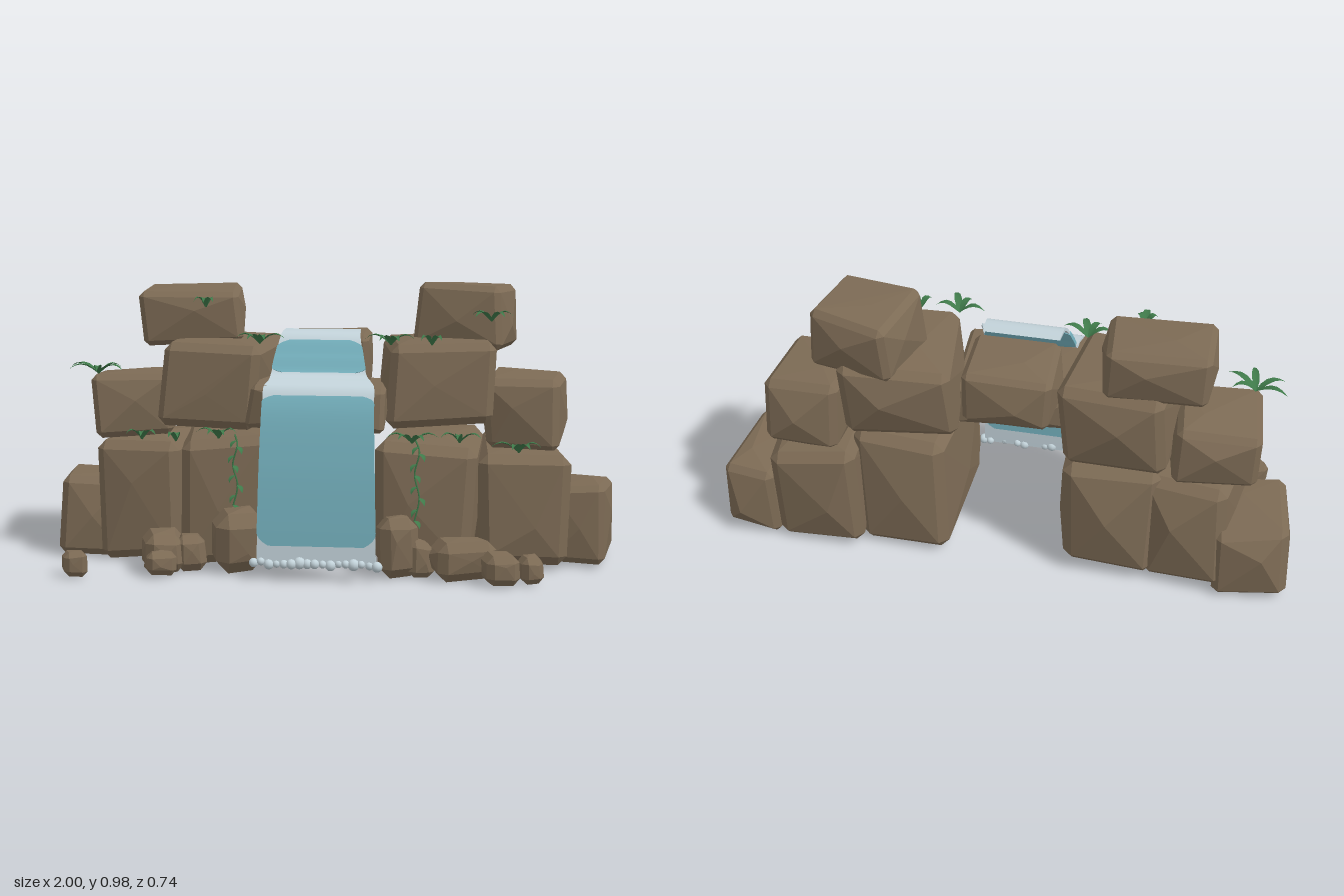
import * as THREE from 'three';
import { ConvexGeometry } from 'three/addons/geometries/ConvexGeometry.js';
import { toCreasedNormals } from 'three/addons/utils/BufferGeometryUtils.js';

const material = (name, color, extra = {}) => {
  const m = new THREE.MeshStandardMaterial({ color, ...extra });
  m.name = name;
  return m;
};

// Small seeded generator
function seeded(seed) {
  let s = seed * 7919 + 17;
  return () => (s = (s * 16807) % 2147483647) / 2147483647;
}

// Irregular bevelled boulder filling the box [x0,x1] [y0,y1] [z0,z1]
function boulderGeometry([x0, x1, y0, y1, z0, z1], seed, bevel, yaw) {
  const rand = seeded(seed);
  for (let i = 0; i < 5; i++) rand();
  const size = [x1 - x0, y1 - y0, z1 - z0];
  const b = Math.min(...size) * bevel;
  const pts = [];
  for (const sx of [-1, 1]) for (const sy of [-1, 1]) for (const sz of [-1, 1]) {
    const s = [sx, sy, sz];
    const corner = s.map((v, i) => v * size[i] / 2 * (1 - 0.16 * rand()));
    for (let a = 0; a < 3; a++) {
      pts.push(new THREE.Vector3(...corner.map((c, i) => (i === a ? c : c - s[i] * b))));
    }
  }
  // Peaks on the sides and back
  const off = () => (rand() - 0.5) * 0.3;
  pts.push(new THREE.Vector3(off() * size[0], off() * size[1], -size[2] * 0.55));
  pts.push(new THREE.Vector3(off() * size[0], off() * size[1], size[2] * 0.5));
  pts.push(new THREE.Vector3(-size[0] * 0.5, off() * size[1], off() * size[2]));
  pts.push(new THREE.Vector3(size[0] * 0.5, off() * size[1], off() * size[2]));
  pts.push(new THREE.Vector3(off() * size[0], size[1] * 0.49, off() * size[2]));
  const turn = new THREE.Euler((rand() - 0.5) * 0.08, yaw, (rand() - 0.5) * 0.08);
  pts.forEach(p => p.applyEuler(turn));
  // Fit the turned boulder to its box
  const box = new THREE.Box3().setFromPoints(pts);
  const d = box.getSize(new THREE.Vector3());
  pts.forEach(p => p.sub(box.min).divide(d)
    .multiply(new THREE.Vector3(...size)).add(new THREE.Vector3(x0, y0, z0)));
  return new ConvexGeometry(pts);
}

// Water course from top to bottom: left x, right x, y, z
const COURSE = [
  [-0.16, 0.105, 0.812, -0.06], [-0.165, 0.11, 0.80, 0.02], [-0.18, 0.125, 0.73, 0.07],
  [-0.19, 0.14, 0.67, 0.11], [-0.19, 0.16, 0.655, 0.17], [-0.2, 0.175, 0.64, 0.215],
  [-0.2, 0.175, 0.58, 0.248], [-0.205, 0.18, 0.4, 0.282], [-0.21, 0.185, 0.2, 0.298],
  [-0.215, 0.19, 0.05, 0.303],
];
const leftBank = new THREE.CatmullRomCurve3(COURSE.map(r => new THREE.Vector3(r[0], r[2], r[3])));
const rightBank = new THREE.CatmullRomCurve3(COURSE.map(r => new THREE.Vector3(r[1], r[2], r[3])));

// Slab of water along the course between two row numbers, ends optionally rounded
function waterGeometry(from, to, thick, grow, round) {
  const steps = 40, pos = [], idx = [], last = COURSE.length - 1;
  for (let i = 0; i <= steps; i++) {
    const row = from + (to - from) * i / steps;
    const l = leftBank.getPoint(row / last), r = rightBank.getPoint(row / last);
    const t = leftBank.getTangent(row / last);
    const n = new THREE.Vector3(0, t.z, -t.y).normalize().multiplyScalar(thick / 2);
    const near = Math.max(0, 1 - Math.min(row - from, to - row) / 0.3);
    const inset = (round ? 0.04 * near * near : 0) - grow;
    l.x += inset;
    r.x -= inset;
    for (const [p, k] of [[l, 1], [r, 1], [r, -1], [l, -1]]) pos.push(p.x, p.y + n.y * k, p.z + n.z * k);
    if (i < steps) for (let k = 0; k < 4; k++) {
      const a = i * 4 + k, b = i * 4 + (k + 1) % 4;
      idx.push(a, a + 4, b + 4, a, b + 4, b);
    }
  }
  const g = new THREE.BufferGeometry();
  g.setAttribute('position', new THREE.Float32BufferAttribute(pos, 3));
  g.setIndex(idx);
  return toCreasedNormals(g.toNonIndexed(), 0.7);
}

// Arching, folded leaf growing along +z
function leafGeometry(length, width, arch) {
  const g = new THREE.PlaneGeometry(1, 1, 2, 5);
  const p = g.attributes.position;
  for (let i = 0; i < p.count; i++) {
    const side = p.getX(i) * 2, u = p.getY(i) + 0.5;
    const w = width / 2 * Math.sin(Math.PI * (0.08 + 0.92 * Math.pow(u, 0.8)));
    p.setXYZ(i, side * w, arch * Math.sin(u * 2.5) + Math.abs(side) * w * 0.35, u * length);
  }
  g.computeVertexNormals();
  return g;
}

export function createModel() {
  const model = new THREE.Group();
  model.name = 'rockWaterfall';
  const rock = material('rockBrown', 0x7d6b55, { flatShading: true });
  const water = material('waterTeal', 0x76b2bf, { side: THREE.DoubleSide });
  const foam = material('foamPale', 0xc3d3da, { side: THREE.DoubleSide });
  const green = material('leafGreen', 0x3f7a4a, { side: THREE.DoubleSide });

  const add = (parent, name, geometry, mat) => {
    const m = new THREE.Mesh(geometry, mat);
    m.name = name;
    parent.add(m);
    return m;
  };

  // Boulders: name, box, yaw
  const boulders = [
    ['rightOuterBase', [-1, -0.72, 0, 0.29, -0.33, 0.04], 0.1],
    ['rightMiddleBase', [-0.82, -0.48, 0, 0.45, -0.33, 0.1], -0.1],
    ['rightInnerBase', [-0.55, -0.18, 0, 0.46, -0.34, 0.14], 0.08],
    ['leftInnerBase', [0.17, 0.53, 0, 0.46, -0.32, 0.2], -0.05],
    ['leftMiddleBase', [0.49, 0.84, 0, 0.42, -0.37, 0.14], 0.06],
    ['leftOuterBase', [0.76, 1, 0, 0.29, -0.36, 0.035], -0.15],
    ['rightOuterShelf', [-0.87, -0.55, 0.43, 0.66, -0.3, 0.05], 0.1],
    ['rightInnerShelf', [-0.6, -0.19, 0.47, 0.79, -0.35, 0.1], -0.1],
    ['leftInnerShelf', [0.15, 0.58, 0.49, 0.79, -0.36, 0.12], 0.12],
    ['leftOuterShelf', [0.53, 0.83, 0.4, 0.665, -0.34, 0.03], -0.06],
    ['lintel', [-0.27, 0.21, 0.485, 0.65, -0.2, 0.235], 0],
    ['spring', [-0.19, 0.14, 0.6, 0.805, -0.34, -0.04], 0],
    ['rightCap', [-0.705, -0.315, 0.75, 0.96, -0.33, -0.035], 0.08],
    ['leftCap', [0.285, 0.645, 0.745, 0.98, -0.36, -0.03], -0.22],
  ];
  boulders.forEach(([name, box, yaw], i) =>
    add(model, name + 'Boulder', boulderGeometry(box, i + 3, 0.09, yaw), rock));

  // Loose stones at the foot
  const stones = [
    [-0.39, -0.19, 0, 0.22, 0.08, 0.28], [-0.635, -0.47, 0, 0.14, 0.11, 0.3],
    [-0.52, -0.4, 0, 0.13, 0.13, 0.26], [-0.61, -0.49, 0, 0.09, 0.22, 0.34],
    [-0.88, -0.79, 0, 0.09, 0.29, 0.37], [0.18, 0.33, 0, 0.21, 0.12, 0.28],
    [0.28, 0.38, 0, 0.13, 0.16, 0.26], [0.36, 0.59, 0, 0.14, 0.14, 0.31],
    [0.54, 0.67, 0, 0.11, 0.23, 0.36], [0.66, 0.75, 0, 0.095, 0.21, 0.31],
  ];
  stones.forEach((box, i) => add(model, 'footStone', boulderGeometry(box, i + 40, 0.22, 0.3), rock));

  // Waterfall: pale sheet with two teal reaches
  add(model, 'foamSheet', waterGeometry(0, 9, 0.01, 0, false), foam);
  add(model, 'upperWater', waterGeometry(1.3, 2.85, 0.015, 0.002, true), water);
  add(model, 'fallingWater', waterGeometry(5.5, 8.55, 0.015, 0.002, true), water);

  // Foam beads along the splash line
  const rand = seeded(5);
  for (let i = 0; i < 17; i++) {
    const bead = add(model, 'foamBead', new THREE.SphereGeometry(0.013 + 0.009 * rand(), 10, 8), foam);
    bead.position.set(-0.225 + i * 0.0262, 0.05 + 0.012 * rand(), 0.3 + 0.02 * rand());
  }

  // Leaf tufts: x, y, z, leaf count, leaf length
  const tufts = [
    [-0.82, 0.655, 0, 5, 0.1], [-0.65, 0.435, 0.08, 3, 0.07], [-0.53, 0.43, 0.08, 2, 0.06],
    [-0.24, 0.77, 0.03, 4, 0.08], [-0.44, 0.89, -0.035, 3, 0.05], [-0.37, 0.45, 0.13, 4, 0.08],
    [0.22, 0.775, 0.08, 4, 0.08], [0.56, 0.85, -0.02, 4, 0.08], [0.3, 0.45, 0.17, 4, 0.08],
    [0.46, 0.45, 0.14, 3, 0.07], [0.66, 0.41, 0.08, 4, 0.08], [0.36, 0.775, 0.07, 2, 0.06],
  ];
  for (const [x, y, z, count, length] of tufts) {
    const tuft = new THREE.Group();
    tuft.name = 'leafTuft';
    tuft.position.set(x, y, z);
    for (let i = 0; i < count; i++) {
      const leaf = add(tuft, 'leaf', leafGeometry(length * (0.8 + 0.4 * rand()), 0.026, 0.035), green);
      leaf.rotation.y = (i - (count - 1) / 2) * 1.0 + (rand() - 0.5) * 0.4;
    }
    model.add(tuft);
  }

  // Hanging vines: x, top y, bottom y, z
  for (const [x, top, bottom, z] of [[-0.31, 0.46, 0.22, 0.15], [0.32, 0.46, 0.19, 0.212]]) {
    const vine = new THREE.Group();
    vine.name = 'hangingVine';
    const path = new THREE.CatmullRomCurve3([0, 0.12, 0.4, 0.7, 1].map((t, i) =>
      new THREE.Vector3(x + 0.008 * (i % 2 ? 1 : -1), top + (bottom - top) * t, z - (i ? 0 : 0.05))));
    add(vine, 'stem', new THREE.TubeGeometry(path, 24, 0.003, 5), green);
    for (let i = 0; i < 8; i++) {
      const leaf = add(vine, 'leaf', leafGeometry(0.036, 0.02, 0.008), green);
      leaf.position.copy(path.getPoint(0.15 + i * 0.12));
      leaf.rotation.set(0.9, (i % 2 ? 1 : -1) * 0.8, 0, 'YXZ');
    }
    model.add(vine);
  }
  return model;
}
